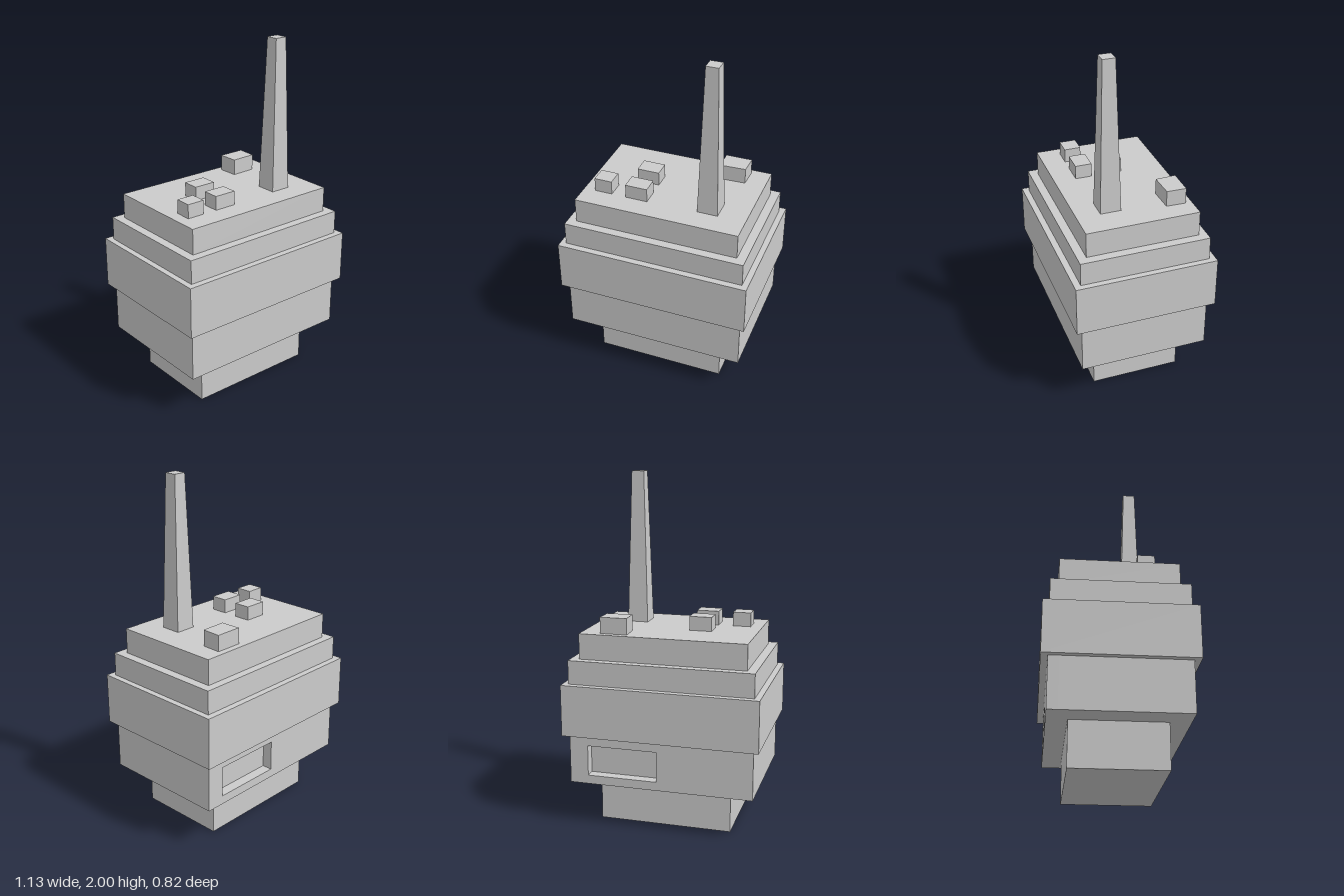
import * as THREE from 'three';

export function createModel() {
  const model = new THREE.Group();
  model.name = 'steppedBuilding';
  const material = new THREE.MeshStandardMaterial({ color: 0xcccccc, flatShading: true });

  const add = (name, geometry, x = 0, y = 0, z = 0) => {
    const mesh = new THREE.Mesh(geometry, material);
    mesh.name = name;
    mesh.position.set(x, y, z);
    model.add(mesh);
    return mesh;
  };

  // Box given by its limits on each axis
  const block = (name, [x0, x1], [y0, y1], [z0, z1]) =>
    add(name, new THREE.BoxGeometry(x1 - x0, y1 - y0, z1 - z0),
      (x0 + x1) / 2, (y0 + y1) / 2, (z0 + z1) / 2);

  // Closed outline in the order given
  const outline = (points, Type = THREE.Shape) =>
    new Type(points.map(([x, y]) => new THREE.Vector2(x, y)));

  // Stacked storeys
  block('base', [-0.385, 0.385], [0, 0.252], [-0.262, 0.262]);
  block('lowerStorey', [-0.532, 0.532], [0.252, 0.54], [-0.315, 0.375]);
  block('middleStorey', [-0.566, 0.566], [0.54, 0.838], [-0.412, 0.412]);
  block('upperStorey', [-0.532, 0.532], [0.838, 0.975], [-0.375, 0.375]);
  block('topStorey', [-0.481, 0.481], [0.975, 1.122], [-0.328, 0.325]);

  // Back wall of the lower storey, with an opening that forms the recess
  const wall = outline([[-0.532, 0.252], [0.532, 0.252], [0.532, 0.54], [-0.532, 0.54]]);
  wall.holes.push(outline([[0.02, 0.303], [0.02, 0.48], [0.425, 0.48], [0.425, 0.303]], THREE.Path));
  add('recessedBackWall', new THREE.ExtrudeGeometry(wall, { depth: 0.06, bevelEnabled: false }), 0, 0, -0.375);

  // Small roof units
  const roofUnits = [
    [[-0.224, -0.094], [-0.08, 0.018]],
    [[-0.224, -0.094], [0.102, 0.199]],
    [[-0.413, -0.309], [0.102, 0.198]],
  ];
  roofUnits.forEach(([x, z], i) => block(`roofUnit${i + 1}`, x, [1.122, 1.203], z));

  // Slightly skewed roof unit at the back, extruded upwards from its plan (x, -z)
  const plan = outline([[0.215, 0.172], [0.363, 0.178], [0.367, 0.291], [0.21, 0.291]]);
  add('skewedRoofUnit', new THREE.ExtrudeGeometry(plan, { depth: 0.093, bevelEnabled: false }), 0, 1.122, 0)
    .rotation.x = -Math.PI / 2;

  // Square tapering chimney
  const chimney = new THREE.CylinderGeometry(0.036 * Math.SQRT2, 0.06 * Math.SQRT2, 0.878, 4);
  chimney.rotateY(Math.PI / 4);
  add('chimney', chimney, 0.26, 1.561, 0.13);

  return model;
}
